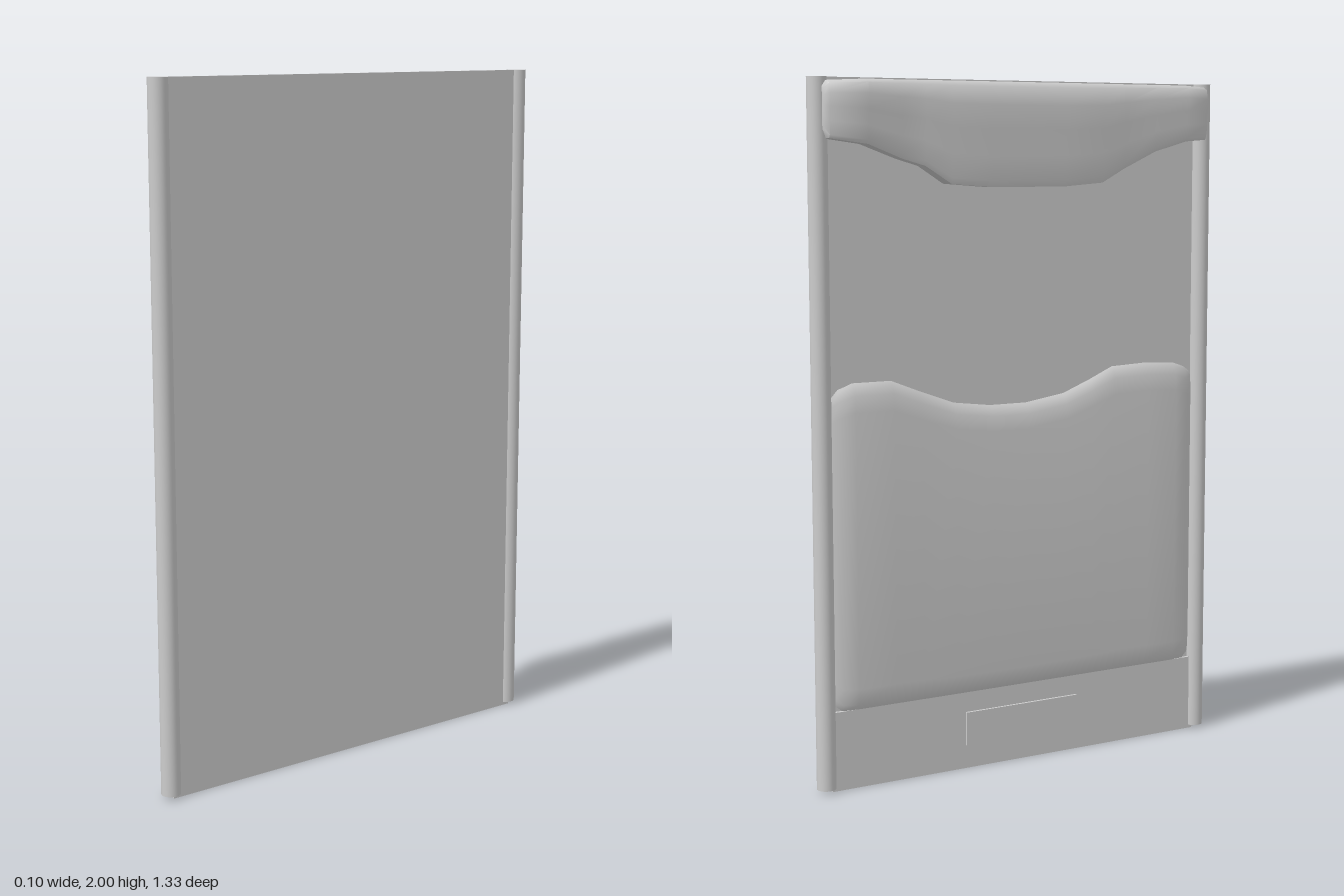
import * as THREE from 'three';
import { toCreasedNormals } from 'three/addons/utils/BufferGeometryUtils.js';

const material = new THREE.MeshStandardMaterial({ color: 0xcccccc });

function addPart(group, name, geometry, x = 0, y = 0, z = 0) {
  const mesh = new THREE.Mesh(geometry, material);
  mesh.name = name;
  mesh.position.set(x, y, z);
  group.add(mesh);
  return mesh;
}

// Closed soft body lofted along z.
// stations: [z, bottom, top, front x]; profile: [depth 0..1, drop from top 0..1]
function softBody(stations, profile, backX) {
  const positions = [], index = [];
  const n = profile.length;
  for (const [z, bottom, top, frontX] of stations) {
    for (const [depth, drop] of profile) {
      positions.push(
        THREE.MathUtils.lerp(backX, frontX, depth),
        THREE.MathUtils.lerp(top, bottom, drop), z);
    }
  }
  for (let i = 0; i < stations.length - 1; i++) {
    for (let j = 0; j < n; j++) {
      const a = i * n + j, b = i * n + (j + 1) % n;
      index.push(a, b, a + n, b, b + n, a + n);
    }
  }
  // end caps
  const last = (stations.length - 1) * n;
  for (let j = 1; j < n - 1; j++) {
    index.push(0, j + 1, j, last, last + j, last + j + 1);
  }
  const geometry = new THREE.BufferGeometry();
  geometry.setAttribute('position', new THREE.Float32BufferAttribute(positions, 3));
  geometry.setIndex(index);
  return toCreasedNormals(geometry, 0.9);
}

export function createModel() {
  const group = new THREE.Group();
  group.name = 'hangingPanel';

  // flat sheet and the two round side posts
  addPart(group, 'panel', new THREE.BoxGeometry(0.015, 2, 1.27), 0.028, 1, 0);
  for (const side of [-1, 1]) {
    addPart(group, side > 0 ? 'frontPost' : 'backPost',
      new THREE.CylinderGeometry(0.028, 0.028, 1.99, 32), 0.02, 1.005, side * 0.635);
  }

  // bottom band with its raised plate
  addPart(group, 'bottomBand', new THREE.BoxGeometry(0.025, 0.23, 1.24), 0.0225, 0.115, 0);
  addPart(group, 'plate', new THREE.BoxGeometry(0.01, 0.1, 0.38), 0.007, 0.12, 0);

  // draped flap over the top, longer in the middle
  const flapStations = [
    [-0.632, 1.86, 1.975, -0.022],
    [-0.62, 1.835, 1.99, -0.036],
    [-0.51, 1.82, 1.995, -0.05],
    [-0.40, 1.78, 1.995, -0.036],
    [-0.33, 1.76, 1.995, -0.04],
    [-0.25, 1.71, 1.995, -0.045],
    [-0.12, 1.70, 1.995, -0.046],
    [0.0, 1.70, 1.995, -0.046],
    [0.12, 1.70, 1.995, -0.046],
    [0.25, 1.71, 1.995, -0.045],
    [0.33, 1.75, 1.995, -0.036],
    [0.44, 1.80, 1.995, -0.036],
    [0.55, 1.83, 1.995, -0.038],
    [0.62, 1.835, 1.99, -0.037],
    [0.632, 1.86, 1.975, -0.024],
  ];
  const flapProfile = [
    [0, 0], [0.65, 0], [0.9, 0.05], [1, 0.22], [0.97, 0.45],
    [0.9, 0.7], [0.88, 0.94], [0.8, 1], [0, 1],
  ];
  addPart(group, 'flap', softBody(flapStations, flapProfile, 0.022));

  // large padded pocket with a wavy, bevelled mouth
  const pocketStations = [
    [-0.61, 0.25, 1.13, 0.018],
    [-0.585, 0.23, 1.15, 0.003],
    [-0.54, 0.225, 1.165, -0.004],
    [-0.42, 0.225, 1.165, -0.004],
    [-0.33, 0.225, 1.13, -0.004],
    [-0.22, 0.225, 1.09, -0.004],
    [-0.1, 0.225, 1.075, -0.004],
    [0.02, 0.225, 1.075, -0.004],
    [0.15, 0.225, 1.095, -0.004],
    [0.24, 0.225, 1.13, -0.004],
    [0.32, 0.225, 1.165, -0.004],
    [0.44, 0.225, 1.17, -0.004],
    [0.54, 0.225, 1.165, -0.004],
    [0.585, 0.23, 1.15, 0.003],
    [0.61, 0.25, 1.13, 0.018],
  ];
  const pocketProfile = [
    [0, 0], [0.45, 0.012], [0.85, 0.04], [1, 0.09],
    [1, 0.93], [0.8, 0.98], [0.4, 1], [0, 1],
  ];
  addPart(group, 'pocket', softBody(pocketStations, pocketProfile, 0.024));

  return group;
}
